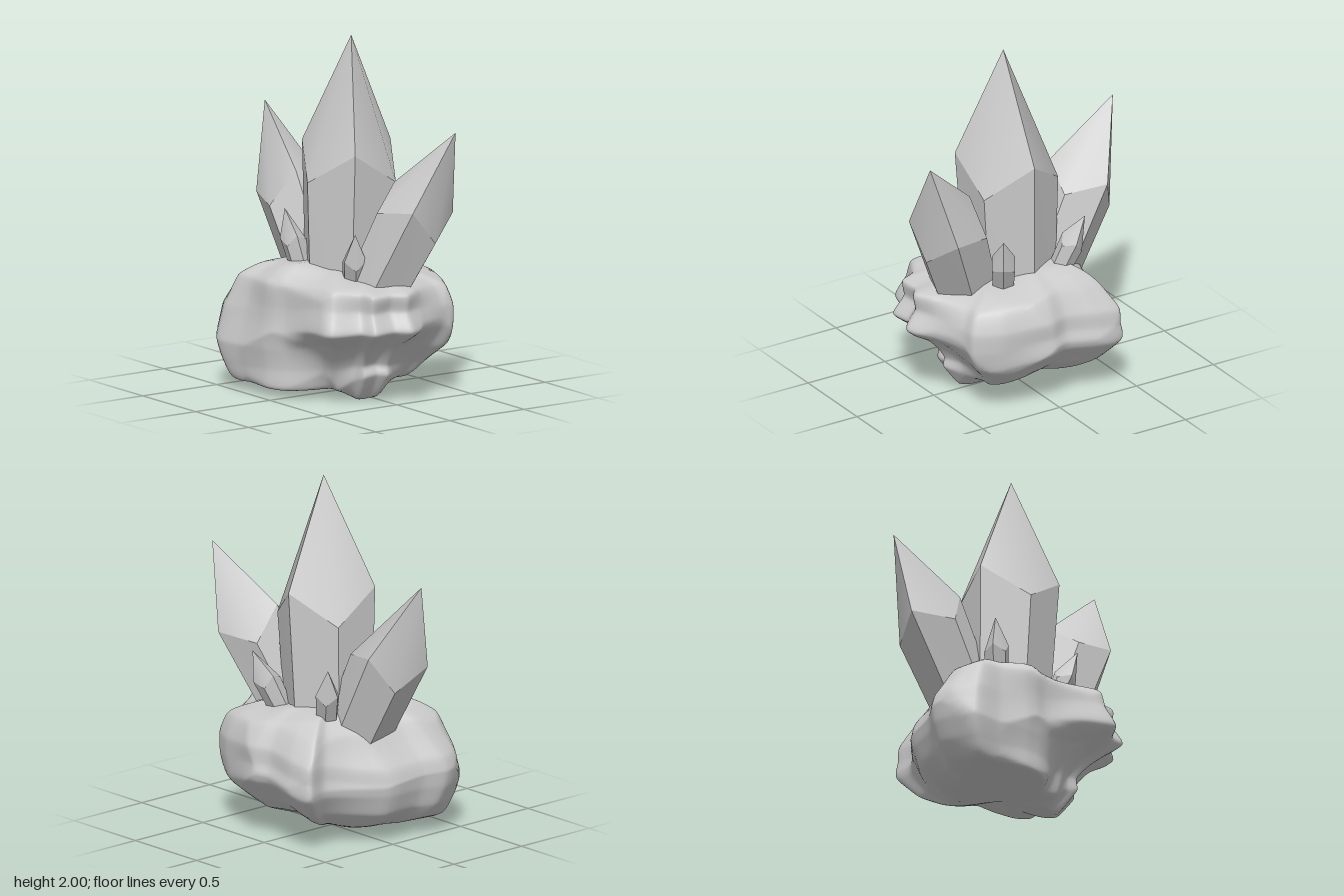
import * as THREE from 'three';
import { mergeGeometries, toCreasedNormals } from 'three/addons/utils/BufferGeometryUtils.js';

const material = new THREE.MeshStandardMaterial({ color: 0xcccccc });

function soup(points) {
  return new THREE.BufferGeometry().setFromPoints(points);
}

// Six-sided crystal with its tip at the origin, a tapered shaft and a
// three-faced point whose corners alternate between high and low.
function crystalGeometry() {
  const tip = new THREE.Vector3();
  const ring = (r, heights) => Array.from({ length: 6 }, (_, i) => {
    const a = i * Math.PI / 3;
    return new THREE.Vector3(r * Math.cos(a), heights[i % 2], r * Math.sin(a));
  });
  const top = ring(0.282, [-0.62, -0.8]);
  const base = ring(0.235, [-1.7, -1.7]);
  const cap = [], shaft = [];
  for (let i = 0; i < 6; i++) {
    const j = (i + 1) % 6;
    cap.push(tip, top[j], top[i]);
    shaft.push(top[i], top[j], base[i], top[j], base[j], base[i]);
    shaft.push(new THREE.Vector3(0, -1.7, 0), base[i], base[j]);
  }
  return mergeGeometries([
    toCreasedNormals(soup(cap), 0.7),
    toCreasedNormals(soup(shaft), 0.3),
  ]);
}

// Places a crystal by its tip, its axis and the direction of one high corner
function addCrystal(group, geometry, [name, size, tip, axis, corner]) {
  const y = new THREE.Vector3(...axis).normalize();
  const x = new THREE.Vector3(...corner);
  x.addScaledVector(y, -x.dot(y)).normalize();
  const z = new THREE.Vector3().crossVectors(x, y);
  const mesh = new THREE.Mesh(geometry, material);
  mesh.name = name;
  mesh.quaternion.setFromRotationMatrix(new THREE.Matrix4().makeBasis(x, y, z));
  mesh.position.set(...tip);
  mesh.scale.setScalar(size);
  group.add(mesh);
}

// Rock: a plan outline scaled by side profiles, then scooped into shallow
// hollows that meet in ridges.
function rockGeometry() {
  const outline = new THREE.CatmullRomCurve3([
    [0.515, -0.05], [0.54, 0.06], [0.53, 0.17], [0.485, 0.365], [0.395, 0.49], [0.3, 0.5],
    [0.13, 0.58], [-0.01, 0.68], [-0.1, 0.635], [-0.235, 0.65], [-0.28, 0.56], [-0.43, 0.48],
    [-0.45, 0.31], [-0.455, 0.06], [-0.5, -0.09], [-0.51, -0.27], [-0.54, -0.43],
    [-0.41, -0.555], [-0.32, -0.595], [-0.19, -0.56], [0.0, -0.55], [0.185, -0.485],
    [0.385, -0.375], [0.51, -0.39], [0.535, -0.24],
  ].map(([x, z]) => new THREE.Vector3(x, 0, z)), true, 'catmullrom', 0.35);

  // Profiles as [share of outline, height], each at an angle from +x towards +z
  const angles = [0, 50, 100, 138, 182, 270, 360];
  const profiles = [
    [[0, 0.04], [0.25, 0.08], [0.5, 0.13], [0.76, 0.2], [1, 0.34], [1, 0.45], [1, 0.55], [0.84, 0.67], [0.48, 0.75], [0, 0.74]],
    [[0, 0.04], [0.3, 0.05], [0.55, 0.1], [0.72, 0.18], [0.92, 0.28], [1, 0.4], [1, 0.52], [0.88, 0.63], [0.55, 0.7], [0, 0.74]],
    [[0, 0.04], [0.42, 0.0], [0.65, 0.14], [0.64, 0.21], [0.78, 0.34], [1, 0.44], [0.92, 0.55], [0.92, 0.65], [0.55, 0.68], [0, 0.74]],
    [[0, 0.04], [0.3, 0.03], [0.45, 0.06], [0.55, 0.18], [0.74, 0.33], [1, 0.43], [0.92, 0.56], [0.83, 0.67], [0.5, 0.73], [0, 0.74]],
    [[0, 0.04], [0.6, 0.03], [0.93, 0.04], [0.96, 0.15], [1, 0.27], [1, 0.38], [0.98, 0.5], [0.93, 0.64], [0.7, 0.75], [0, 0.75]],
    [[0, 0.04], [0.45, 0.05], [0.74, 0.1], [0.93, 0.17], [1, 0.28], [1, 0.36], [0.97, 0.45], [0.72, 0.62], [0.5, 0.71], [0, 0.74]],
  ].map(p => new THREE.CatmullRomCurve3(
    p.map(([f, y]) => new THREE.Vector3(f, y, 0)), false, 'catmullrom', 0.35));

  // Hollow centres, as directions from the middle of the rock
  const hollows = [
    [1, 0.15, 0.55], [1, 0.45, -0.2], [0.9, -0.45, -0.05], [0.3, -0.4, 1],
    [-0.35, 0.3, 1], [-0.35, -0.6, 0.9], [-1, 0.2, 0.3], [-1, -0.5, 0.1],
    [-1, 0.2, -0.4], [-0.2, 0.3, -1], [-0.3, -0.5, -1], [0.5, 0.2, -1], [0.5, -0.5, -0.9],
    [0.5, 1, 0.1], [-0.5, 1, -0.4], [-0.5, 1, 0.4], [0.2, -1, 0.1], [-0.4, -1, -0.1],
  ].map(h => new THREE.Vector3(...h).normalize());

  const cols = 160, rows = 72, positions = [], index = [];
  const p = new THREE.Vector3(), dir = new THREE.Vector3();
  for (let r = 0; r <= rows; r++) {
    const levels = profiles.map(c => c.getPoint(r / rows));
    for (let c = 0; c < cols; c++) {
      const o = outline.getPoint(c / cols);
      const a = (THREE.MathUtils.radToDeg(Math.atan2(o.z, o.x)) + 360) % 360;
      const k = angles.findIndex(b => b > a) - 1;
      const level = levels[k].clone().lerp(
        levels[(k + 1) % levels.length], THREE.MathUtils.smoothstep(a, angles[k], angles[k + 1]));
      p.set(o.x * level.x, level.y - 0.4, o.z * level.x);
      dir.set(p.x, p.y * 1.4, p.z).normalize();
      const d = Math.min(...hollows.map(h => h.distanceTo(dir)));
      p.multiplyScalar(0.945 + 0.065 * Math.min(1, (d / 0.5) ** 2));
      positions.push(p.x, Math.max(0, p.y + 0.4), p.z);
      if (r < rows) {
        const n = (c + 1) % cols, i = r * cols;
        const lo = i + c, lo2 = i + n, hi = lo + cols, hi2 = lo2 + cols;
        index.push(lo, hi, lo2, lo2, hi, hi2);
      }
    }
  }
  const g = new THREE.BufferGeometry();
  g.setAttribute('position', new THREE.Float32BufferAttribute(positions, 3));
  g.setIndex(index);
  g.computeVertexNormals();
  return g;
}

export function createModel() {
  const model = new THREE.Group();
  model.name = 'crystalCluster';

  const rock = new THREE.Mesh(rockGeometry(), material);
  rock.name = 'rockBase';
  model.add(rock);

  const crystal = crystalGeometry();
  [
    ['mainCrystal', 1, [0.01, 2, 0.055], [0, 1, 0.03], [1, 0, -0.02]],
    ['frontCrystal', 0.74, [0.26, 1.53, 0.69], [0.25, 0.89, 0.38], [0.2, -0.07, 0.043]],
    ['backCrystal', 0.735, [-0.04, 1.51, -0.69], [-0.05, 0.89, -0.45], [-0.082, 0.075, 0.175]],
    ['smallCrystalFrontLeft', 0.26, [0.345, 1.01, 0.265], [0.36, 0.9, 0.22], [0, 0, -1]],
    ['smallCrystalBackLeft', 0.25, [0.295, 1.01, -0.295], [0.25, 0.9, -0.3], [1, 0, 0.3]],
    ['smallCrystalBackRight', 0.25, [-0.27, 1.02, -0.18], [-0.22, 0.95, -0.14], [1, 0, -0.3]],
    ['smallCrystalFrontRight', 0.25, [-0.185, 0.955, 0.365], [-0.2, 0.9, 0.32], [0.6, 0, 1]],
  ].forEach(spec => addCrystal(model, crystal, spec));

  return model;
}
